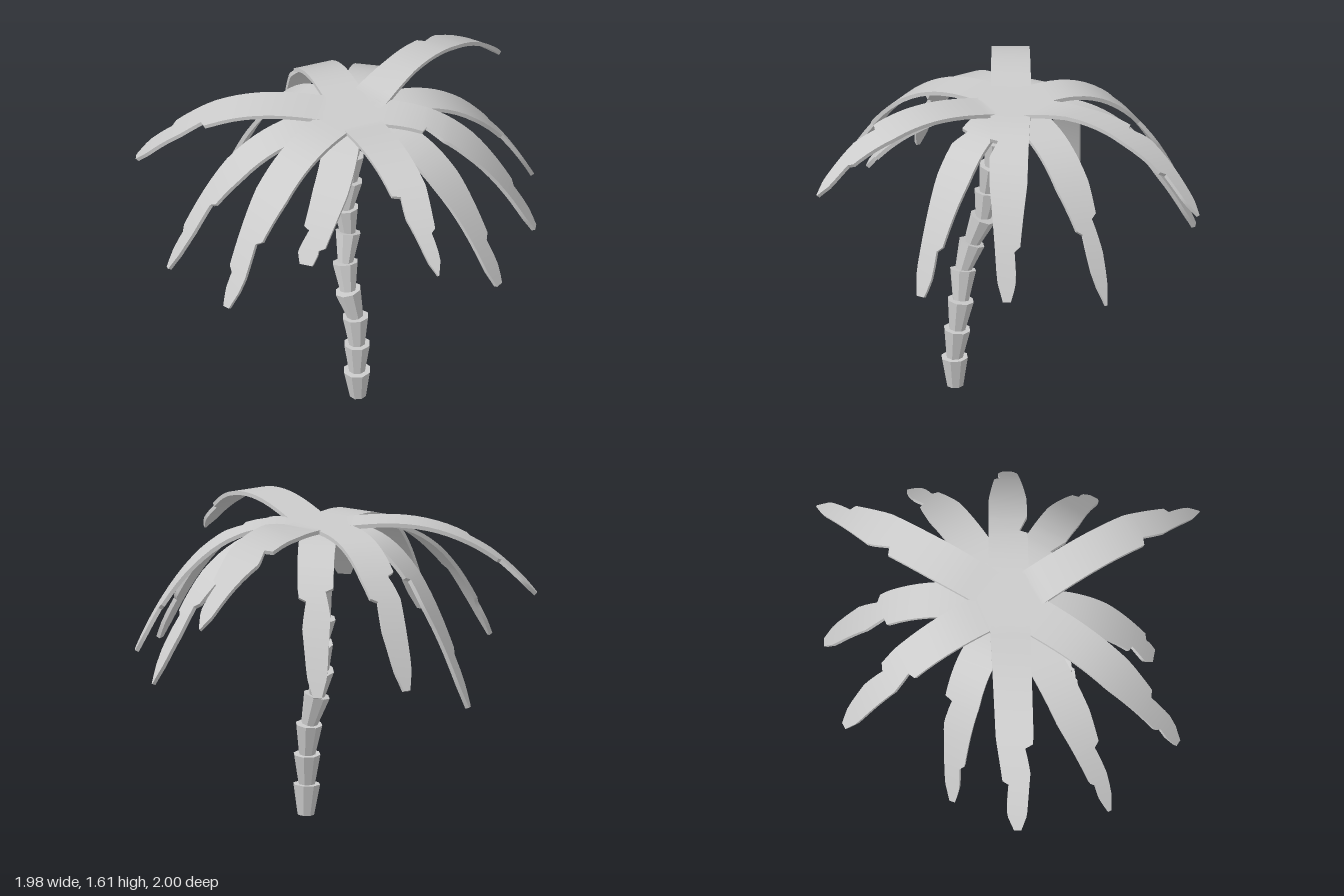
import * as THREE from 'three';
import { toCreasedNormals } from 'three/addons/utils/BufferGeometryUtils.js';

const CROWN = { x: -0.01, z: -0.09 };
const HUB = 0.14; // radius of the flat middle of the crown
const THICK = 0.02;

// Joints of the leaning trunk, ground to crown
const JOINTS = [
  [-0.09, 0, 0.18], [-0.095, 0.155, 0.18], [-0.09, 0.31, 0.168], [-0.09, 0.465, 0.148],
  [-0.118, 0.615, 0.12], [-0.113, 0.755, 0.073], [-0.08, 0.9, 0.028], [-0.083, 1.035, 0.005],
  [-0.055, 1.19, -0.008], [-0.04, 1.33, -0.022], [-0.025, 1.51, -0.05],
];

// Fronds: tip position, upward arch, half width at the tip, tear on each edge,
// and optionally a sideways bow and a roll about the midrib
const UPPER = [
  { tip: [0.04, 0.9, -1.0], arch: 0.02, end: 0.018, tears: [0.73, 0.63], bow: -0.01 },
  { tip: [0.99, 1.25, -0.6], arch: 0.2, end: 0.003, tears: [0.82, 0.56], bow: -0.025, roll: 0.2 },
  { tip: [0.78, 0.91, 0.36], arch: 0, end: 0.02, tears: [0.4, 0.86] },
  { tip: [0, 1.3, 1.0], arch: 0.22, end: 0.003, tears: [0.66, 0.84] },
  { tip: [-0.87, 0.91, 0.37], arch: 0, end: 0.018, tears: [0.9, 0.8] },
  { tip: [-0.95, 1.18, -0.59], arch: 0.08, end: 0.018, tears: [0.82, 0.68] },
];
const LOWER = [
  { tip: [0.47, 0.89, -0.86], arch: 0, end: 0.022, tears: [0.7, 0.66], bow: 0.015 },
  { tip: [0.96, 0.86, -0.1], arch: 0, end: 0.003, tears: [0.8, 0.76] },
  { tip: [0.46, 0.87, 0.67], arch: 0, end: 0.02, tears: [0.36, 0.87] },
  { tip: [-0.48, 1.12, 0.46], arch: -0.15, end: 0.035, tears: [0.84, 0.92], bow: -0.04 },
  { tip: [-0.99, 0.86, -0.09], arch: 0, end: 0.01, tears: [0.89, 0.77] },
  { tip: [-0.5, 0.68, -0.7], arch: 0, end: 0.014, tears: [0.64, 0.88], bow: 0.055 },
];

// Half width along the frond: even, then tapering, with a torn notch
function halfWidth(s, base, end, tear) {
  const { lerp, clamp } = THREE.MathUtils;
  const neck = base * 0.3 + end;
  let w = s < 0.65 ? lerp(base, base * 0.93, s / 0.65)
    : s < 0.95 ? lerp(base * 0.93, neck, (s - 0.65) / 0.3)
      : lerp(neck, end, (s - 0.95) / 0.05);
  const d = s - tear;
  if (d > 0) w *= 1 - 0.42 * clamp(d / 0.015, 0, 1) * clamp(1 - (d - 0.015) / 0.1, 0, 1);
  return w;
}

// Thin solid strip that arches out from the crown and droops to its tip
function frondGeometry({ tip, arch, end, tears, bow = 0, roll = 0 }, hubY, base) {
  const dx = tip[0] - CROWN.x, dz = tip[2] - CROWN.z;
  const length = Math.hypot(dx, dz);
  const u = new THREE.Vector3(dx / length, 0, dz / length);
  const side = new THREE.Vector3(-u.z, 0, u.x);
  const droop = hubY + arch - tip[1];
  const power = 2.6;

  const stations = [HUB / length];
  for (let i = 0; i <= 22; i++) stations.push(1 - Math.pow(1 - i / 22, 1.3));
  for (const t of tears) stations.push(t, t + 0.015, t + 0.115);
  const along = stations.filter((s) => s <= 1).sort((a, b) => a - b)
    .filter((s, i, all) => i === 0 || s - all[i - 1] > 1e-4);

  const positions = [], indices = [];
  for (const s of along) {
    const t = Math.max(0, (s * length - HUB) / (length - HUB));
    const y = hubY + arch * t - droop * Math.pow(t, power);
    const slope = t > 0 ? (arch - droop * power * Math.pow(t, power - 1)) / (length - HUB) : 0;
    const centre = new THREE.Vector3(CROWN.x, y, CROWN.z).addScaledVector(u, s * length)
      .addScaledVector(side, bow * Math.sin(Math.PI * t));
    const down = new THREE.Vector3(u.x * slope, -1, u.z * slope).normalize().multiplyScalar(THICK);
    const across = side.clone().setY(roll * Math.min(1, 4 * t));
    const a = centre.clone().addScaledVector(across, halfWidth(s, base, end, tears[0]));
    const b = centre.clone().addScaledVector(across, -halfWidth(s, base, end, tears[1]));
    for (const p of [a, b, b.clone().add(down), a.clone().add(down)]) positions.push(p.x, p.y, p.z);
  }
  const last = (along.length - 1) * 4;
  for (let r = 0; r < last; r += 4) {
    for (let j = 0; j < 4; j++) {
      const k = (j + 1) % 4;
      indices.push(r + j, r + 4 + j, r + 4 + k, r + j, r + 4 + k, r + k);
    }
  }
  indices.push(0, 1, 2, 0, 2, 3, last + 3, last + 2, last + 1, last + 3, last + 1, last);

  const geometry = new THREE.BufferGeometry();
  geometry.setAttribute('position', new THREE.Float32BufferAttribute(positions, 3));
  geometry.setIndex(indices);
  return toCreasedNormals(geometry, 0.7);
}

export function createModel() {
  const model = new THREE.Group();
  model.name = 'palmTree';
  const bark = new THREE.MeshStandardMaterial({ color: 0xcccccc, flatShading: true });
  const leaf = new THREE.MeshStandardMaterial({ color: 0xcccccc });

  // Trunk of stacked cups, each flaring upward
  const trunk = new THREE.Group();
  trunk.name = 'trunk';
  const up = new THREE.Vector3(0, 1, 0);
  for (let i = 0; i < JOINTS.length - 1; i++) {
    const from = new THREE.Vector3(...JOINTS[i]);
    const to = new THREE.Vector3(...JOINTS[i + 1]);
    const axis = to.clone().sub(from);
    const slim = 1 - 0.008 * i;
    const cup = new THREE.Mesh(
      new THREE.CylinderGeometry(0.068 * slim, 0.042 * slim, axis.length(), 8), bark);
    cup.name = 'trunkSegment';
    cup.position.copy(from).add(to).multiplyScalar(0.5);
    cup.quaternion.setFromUnitVectors(up, axis.normalize());
    trunk.add(cup);
  }
  model.add(trunk);

  // Two tiers of six fronds, the lower showing between the upper
  const tiers = [
    ['upperFronds', 'upperFrond', UPPER, 1.553, 0.1],
    ['lowerFronds', 'lowerFrond', LOWER, 1.535, 0.095],
  ];
  for (const [tierName, frondName, fronds, hubY, width] of tiers) {
    const tier = new THREE.Group();
    tier.name = tierName;
    for (const frond of fronds) {
      const mesh = new THREE.Mesh(frondGeometry(frond, hubY, width), leaf);
      mesh.name = frondName;
      tier.add(mesh);
    }
    model.add(tier);
  }
  return model;
}
